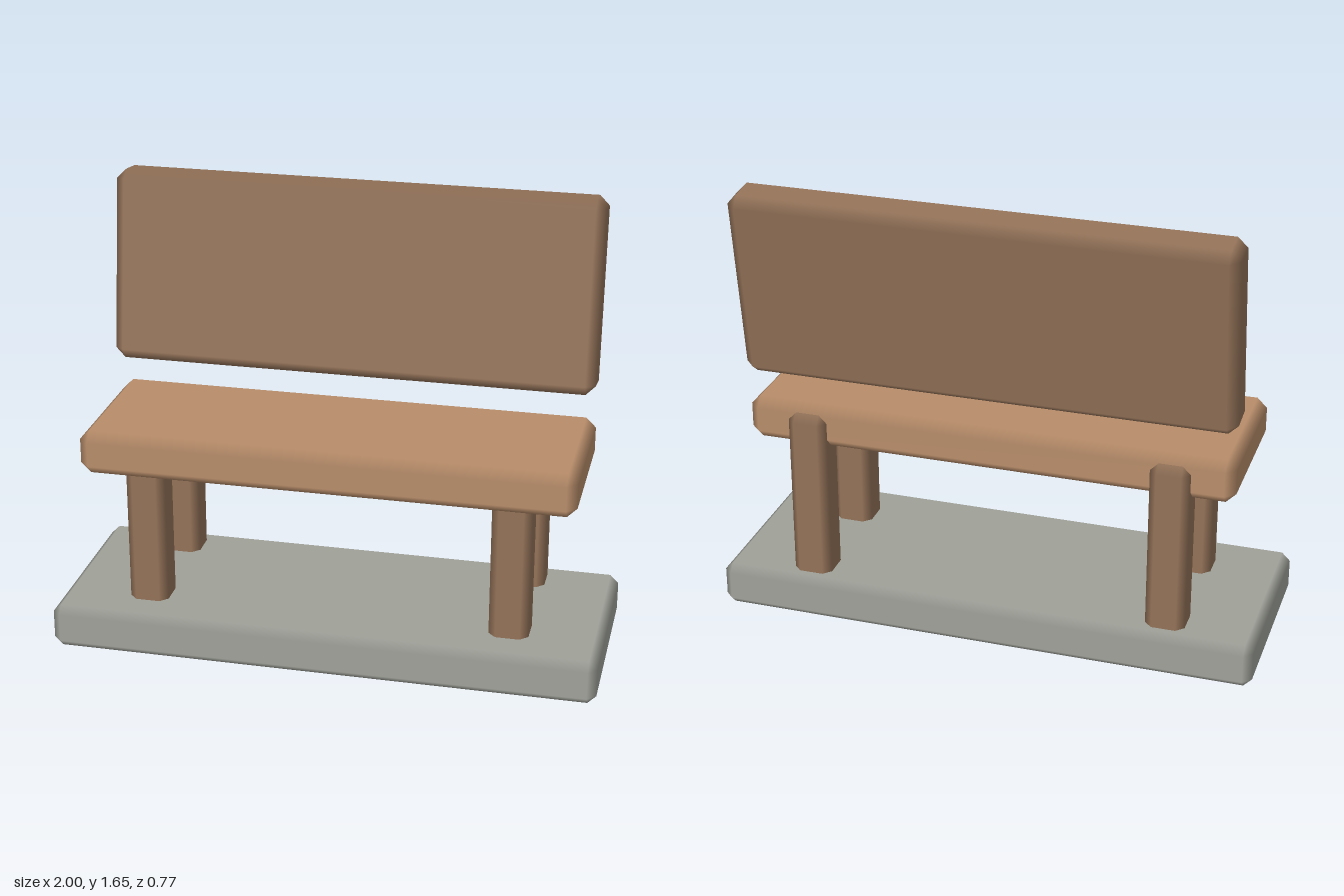
import * as THREE from 'three';
import { ConvexGeometry } from 'three/addons/geometries/ConvexGeometry.js';

// Box with every edge chamfered by c; flat faces, smooth shading across the chamfers
function chamferedBox(w, h, d, c) {
  const half = [w / 2, h / 2, d / 2];
  const points = [];
  for (let axis = 0; axis < 3; axis++) {
    for (let corner = 0; corner < 8; corner++) {
      const p = half.map((s, i) => (corner & (1 << i) ? 1 : -1) * (i === axis ? s : s - c));
      points.push(new THREE.Vector3(...p));
    }
  }
  const geometry = new ConvexGeometry(points);
  const pos = geometry.attributes.position;
  const normal = geometry.attributes.normal;
  for (let i = 0; i < pos.count; i++) {
    const p = [pos.getX(i), pos.getY(i), pos.getZ(i)];
    const n = p.map((v, k) => (Math.abs(v) > half[k] - c / 2 ? Math.sign(v) : 0));
    normal.setXYZ(i, ...n);
  }
  return geometry;
}

export function createModel() {
  const bench = new THREE.Group();
  bench.name = 'bench';

  const stone = new THREE.MeshStandardMaterial({ color: 0x9fa199 });
  const lightWood = new THREE.MeshStandardMaterial({ color: 0xb88d6a });
  const darkWood = new THREE.MeshStandardMaterial({ color: 0x937258 });

  function addPart(name, size, chamfer, position, material) {
    const mesh = new THREE.Mesh(chamferedBox(...size, chamfer), material);
    mesh.name = name;
    mesh.position.set(...position);
    bench.add(mesh);
    return mesh;
  }

  // Slab and seat
  addPart('base', [2, 0.166, 0.745], 0.031, [0, 0.083, 0.0125], stone);
  addPart('seat', [1.79, 0.163, 0.584], 0.036, [0, 0.752, 0.013], lightWood);

  // Backrest leaning backward
  const back = addPart('backrest', [1.79, 0.706, 0.166], 0.036, [0, 1.295, -0.26], darkWood);
  back.rotation.x = -THREE.MathUtils.degToRad(8);

  // Four legs, the rear pair showing behind the seat
  for (const [side, x] of [['left', 0.665], ['right', -0.67]]) {
    for (const [end, z] of [['Front', 0.18], ['Rear', -0.238]]) {
      addPart(side + end + 'Leg', [0.144, 0.7, 0.144], 0.028, [x, 0.45, z], darkWood);
    }
  }

  return bench;
}
